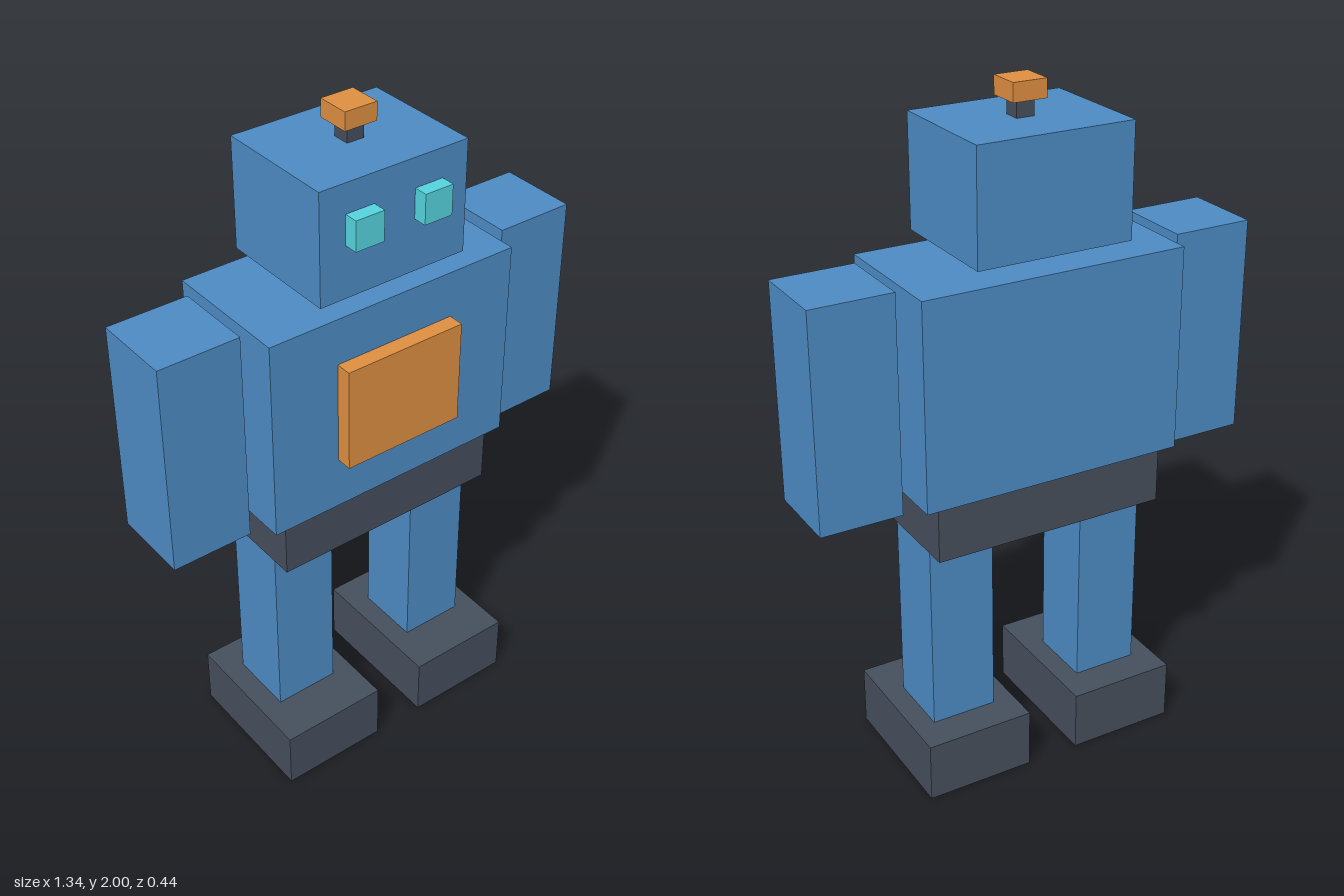
import * as THREE from 'three';

const paint = (color) => new THREE.MeshStandardMaterial({ color });

export function createModel() {
  const blue = paint(0x4c8ac2), dark = paint(0x454e5c);
  const orange = paint(0xdd8e40), cyan = paint(0x55d3dd);
  const robot = new THREE.Group();
  robot.name = 'robot';

  // Box given by its extents: x, y and z as [min, max]
  function block(name, material, [x0, x1], [y0, y1], [z0, z1]) {
    const mesh = new THREE.Mesh(new THREE.BoxGeometry(x1 - x0, y1 - y0, z1 - z0), material);
    mesh.position.set((x0 + x1) / 2, (y0 + y1) / 2, (z0 + z1) / 2);
    mesh.name = name;
    robot.add(mesh);
  }

  // Same box on both sides of the body
  function pair(name, material, [x0, x1], y, z) {
    block('left' + name, material, [x0, x1], y, z);
    block('right' + name, material, [-x1, -x0], y, z);
  }

  // Legs
  pair('Foot', dark, [0.08, 0.407], [0, 0.18], [-0.22, 0.22]);
  pair('Leg', blue, [0.145, 0.342], [0.18, 0.765], [-0.12, 0.08]);

  // Body
  block('pelvis', dark, [-0.353, 0.353], [0.763, 0.932], [-0.2, 0.155]);
  block('torso', blue, [-0.395, 0.395], [0.932, 1.533], [-0.22, 0.173]);
  block('chestPanel', orange, [-0.187, 0.187], [1.088, 1.396], [0.173, 0.22]);
  pair('Arm', blue, [0.428, 0.668], [0.903, 1.538], [-0.142, 0.097]);

  // Head
  block('neck', dark, [-0.082, 0.082], [1.533, 1.576], [-0.104, 0.06]);
  block('head', blue, [-0.231, 0.231], [1.576, 1.9], [-0.209, 0.162]);
  pair('Eye', cyan, [0.064, 0.152], [1.728, 1.815], [0.162, 0.203]);

  // Antenna
  block('antennaStem', dark, [-0.026, 0.026], [1.9, 1.948], [-0.05, 0.002]);
  block('antennaTip', orange, [-0.05, 0.05], [1.948, 2], [-0.074, 0.025]);

  return robot;
}
